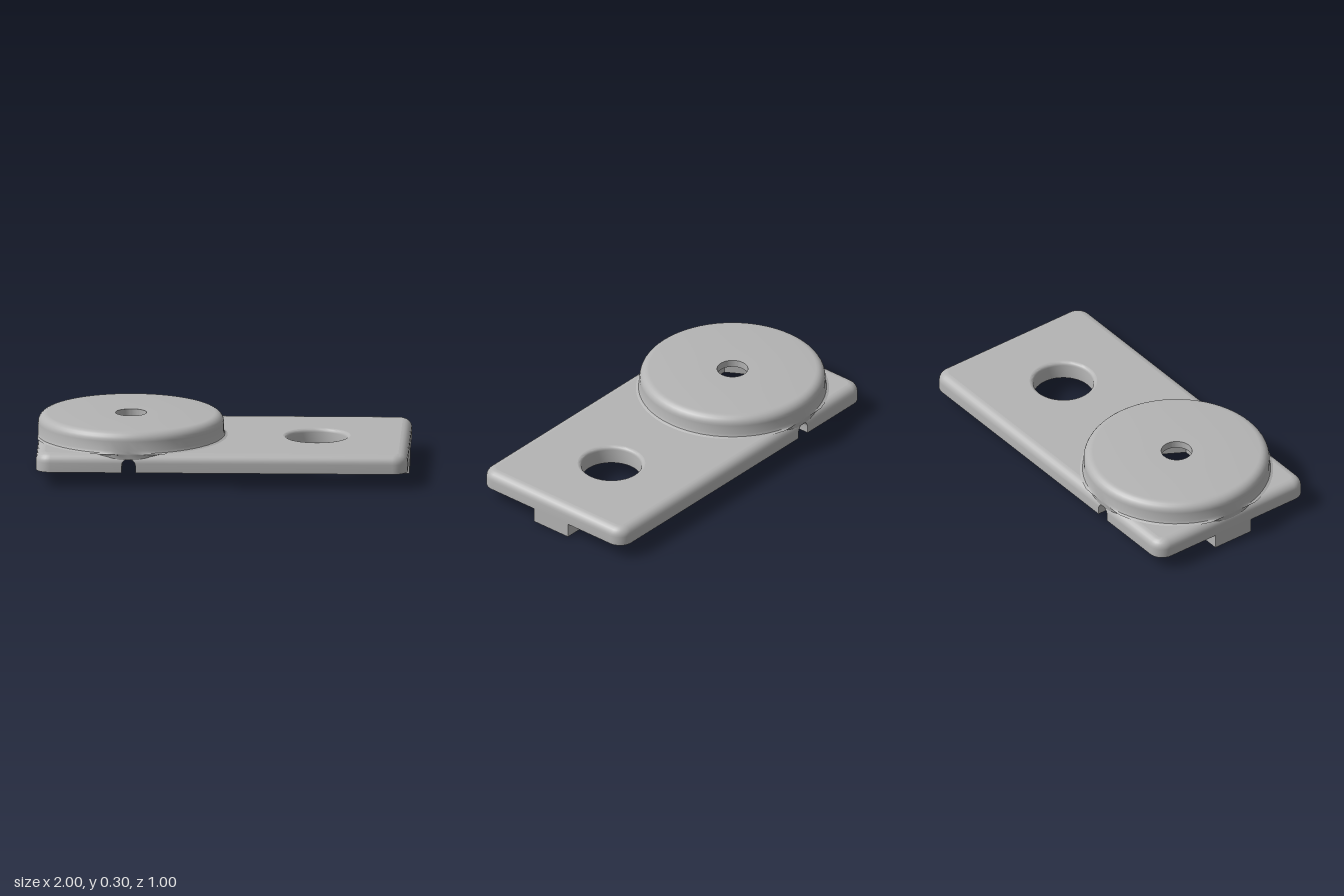
import * as THREE from 'three';
import { toCreasedNormals } from 'three/addons/utils/BufferGeometryUtils.js';

const BASE = 0.08, TOP = 0.18, ROUND = 0.05;      // plate heights and edge rounding
const CX = -0.5, DISC_R = 0.5, DISC_TOP = 0.3;    // raised disc
const POCKET_R = 0.318, POCKET_Y = 0.2;           // round pocket underneath
const HEX_R = 0.13, HEX_Y = 0.26, BORE_R = 0.083; // hexagonal seat and bore
const HOLE_X = 0.5, HOLE_R = 0.162, HOLE_LIP = 0.02;
const W = 0.0375, SPRING = 0.1175;                // channel half width, start of its arch

const V3 = (x, y, z) => new THREE.Vector3(x, y, z);
const V2 = (x, y) => new THREE.Vector2(x, y);

// Channel cross-section, from +x to -x
const arch = [];
for (let i = 0; i <= 10; i++) {
  const a = (i / 10) * Math.PI;
  arch.push(V2(CX + W * Math.cos(a), SPRING + W * Math.sin(a)));
}
const channelXs = [CX + W + 0.0005, ...arch.map((p) => p.x), CX - W - 0.0005];

// Raises a wall point so that it clears the channel
function clearChannel(x, y) {
  const d = Math.abs(x - CX);
  return d > W + 1e-4 ? y : Math.max(y, SPRING + Math.sqrt(Math.max(0, W * W - d * d)));
}

// Rounded rectangle in x and z, with extra points where the channel leaves it
function outline(inset) {
  const pts = [], r = 0.08 - inset;
  const corner = (sx, sz, start) => {
    for (let i = 0; i <= 8; i++) {
      const a = start + (i / 8) * Math.PI / 2;
      pts.push(V2(sx * 0.92 + r * Math.cos(a), sz * 0.42 + r * Math.sin(a)));
    }
  };
  corner(1, 1, 0);
  channelXs.forEach((x) => pts.push(V2(x, 0.5 - inset)));
  corner(-1, 1, Math.PI / 2);
  corner(-1, -1, Math.PI);
  [...channelXs].reverse().forEach((x) => pts.push(V2(x, inset - 0.5)));
  corner(1, -1, Math.PI * 1.5);
  return pts;
}

// Pocket circle in x and z, starting at -z and passing +x first
function pocketLoop() {
  const angles = [];
  for (let i = 0; i < 64; i++) {
    const a = -Math.PI / 2 + (i / 64) * Math.PI * 2;
    if (Math.abs(Math.cos(a)) * POCKET_R > W + 0.002) angles.push(a);
  }
  channelXs.forEach((x) => {
    const a = Math.acos((x - CX) / POCKET_R);
    angles.push(a, -a < -Math.PI / 2 ? Math.PI * 2 - a : -a);
  });
  return angles.sort((a, b) => a - b)
    .map((a) => V2(CX + POCKET_R * Math.cos(a), POCKET_R * Math.sin(a)));
}

// Skin joining rings of equal length
function loft(rings, closed) {
  const n = rings[0].length, index = [];
  for (let j = 0; j < rings.length - 1; j++) {
    for (let i = 0; i < (closed ? n : n - 1); i++) {
      const k = (i + 1) % n, a = j * n + i, b = j * n + k;
      index.push(a, a + n, b, b, a + n, b + n);
    }
  }
  const g = new THREE.BufferGeometry().setFromPoints(rings.flat());
  g.setIndex(index);
  g.computeVertexNormals();
  return toCreasedNormals(g, 0.6);
}

// Flat face at height y, facing up (dir 1) or down (dir -1)
function face(points, holes, y, dir) {
  const flip = (list) => list.map((p) => V2(p.x, -dir * p.y));
  const shape = new THREE.Shape(flip(points));
  holes.forEach((h) => shape.holes.push(new THREE.Path(flip(h))));
  return new THREE.ShapeGeometry(shape).rotateX(-dir * Math.PI / 2).translate(0, y, 0);
}

function circle(cx, r, n) {
  const pts = [];
  for (let i = 0; i < n; i++) {
    const a = (i / n) * Math.PI * 2;
    pts.push(V2(cx + r * Math.cos(a), r * Math.sin(a)));
  }
  return pts;
}

export function createModel() {
  const group = new THREE.Group();
  const grey = new THREE.MeshStandardMaterial({ color: 0xb4b4b4, side: THREE.DoubleSide });
  grey.name = 'grey';
  const add = (name, geometry) => {
    const mesh = new THREE.Mesh(geometry, grey);
    mesh.name = name;
    group.add(mesh);
    return mesh;
  };

  // Plate sides with a rounded upper edge
  const levels = [[0, BASE]];
  for (let i = 0; i <= 6; i++) {
    const a = (i / 6) * Math.PI / 2;
    levels.push([ROUND * (1 - Math.cos(a)), TOP - ROUND + ROUND * Math.sin(a)]);
  }
  add('plateSides', loft(levels.map(([inset, y]) =>
    outline(inset).map((p) => V3(p.x, clearChannel(p.x, y), p.y))), true));

  // Plate top, open under the disc
  add('plateTop', face(outline(ROUND),
    [circle(HOLE_X, HOLE_R + HOLE_LIP, 48), circle(CX, POCKET_R, 48)], TOP, 1));

  // Plate underside, in two halves parted by the channel and pocket
  const edge = outline(0), pocket = pocketLoop();
  const onLeft = (p) => p.x > CX + W + 2e-4, onRight = (p) => p.x < CX - W - 2e-4;
  add('undersideLeft', face([
    ...edge.filter((p) => onLeft(p) && p.y > 0),
    ...pocket.filter(onLeft).reverse(),
    ...edge.filter((p) => onLeft(p) && p.y < 0),
  ], [circle(HOLE_X, HOLE_R, 48)], BASE, -1));
  add('undersideRight', face([
    ...edge.filter(onRight), ...pocket.filter(onRight).reverse(),
  ], [], BASE, -1));

  // Through hole with a softened upper lip
  const holeProfile = [];
  for (let i = 0; i <= 4; i++) {
    const a = (i / 4) * Math.PI / 2;
    holeProfile.push(V2(HOLE_R + HOLE_LIP * (1 - Math.sin(a)), TOP - HOLE_LIP * (1 - Math.cos(a))));
  }
  holeProfile.push(V2(HOLE_R, BASE));
  add('throughHole', toCreasedNormals(new THREE.LatheGeometry(holeProfile, 48), 0.6))
    .position.x = HOLE_X;

  // Pocket wall, and the channel running from it to both long edges
  add('pocketWall', loft([POCKET_Y, BASE].map((y) =>
    pocket.map((p) => V3(p.x, clearChannel(p.x, y), p.y))), true));
  const section = [V2(CX + W, BASE), ...arch, V2(CX - W, BASE)];
  for (const s of [1, -1]) {
    const inner = section.map((p) => V3(p.x, p.y, s * Math.sqrt(POCKET_R ** 2 - (p.x - CX) ** 2)));
    const outer = section.map((p) => V3(p.x, p.y, s * (p.y > 0.14 ? 0.495 : 0.5)));
    add(s > 0 ? 'frontChannel' : 'backChannel', loft(s > 0 ? [inner, outer] : [outer, inner], false));
  }

  // Pocket roof with the hexagonal seat
  const hex = circle(CX, HEX_R, 6);
  add('pocketRoof', face(circle(CX, POCKET_R, 64), [hex], POCKET_Y, -1));
  add('hexSeatWall', loft([HEX_Y, POCKET_Y].map((y) => hex.map((p) => V3(p.x, y, p.y))), true));
  add('hexSeatRoof', face(hex, [circle(CX, BORE_R, 32)], HEX_Y, -1));

  // Raised disc: skirt, foot fillet, rounded rim, top and bore
  const profile = [V2(0.498, 0.15), V2(0.5, TOP - 0.004), V2(0.52, TOP), V2(0.506, 0.186), V2(DISC_R, POCKET_Y)];
  for (let i = 0; i <= 6; i++) {
    const a = (i / 6) * Math.PI / 2;
    profile.push(V2(DISC_R - ROUND * (1 - Math.cos(a)), DISC_TOP - ROUND * (1 - Math.sin(a))));
  }
  profile.push(V2(BORE_R, DISC_TOP), V2(BORE_R, HEX_Y));
  const disc = new THREE.LatheGeometry(profile, 64).translate(CX, 0, 0);
  const pos = disc.attributes.position;
  for (let i = 0; i < pos.count; i++) { // keep the fillet within the plate
    pos.setX(i, Math.max(-1, pos.getX(i)));
    pos.setZ(i, THREE.MathUtils.clamp(pos.getZ(i), -0.5, 0.5));
  }
  add('disc', toCreasedNormals(disc, 0.6));

  // Feet at both ends
  for (const s of [1, -1]) {
    add(s > 0 ? 'leftFoot' : 'rightFoot', new THREE.BoxGeometry(0.1, BASE, 0.24))
      .position.set(s * 0.95, BASE / 2, 0);
  }
  return group;
}
